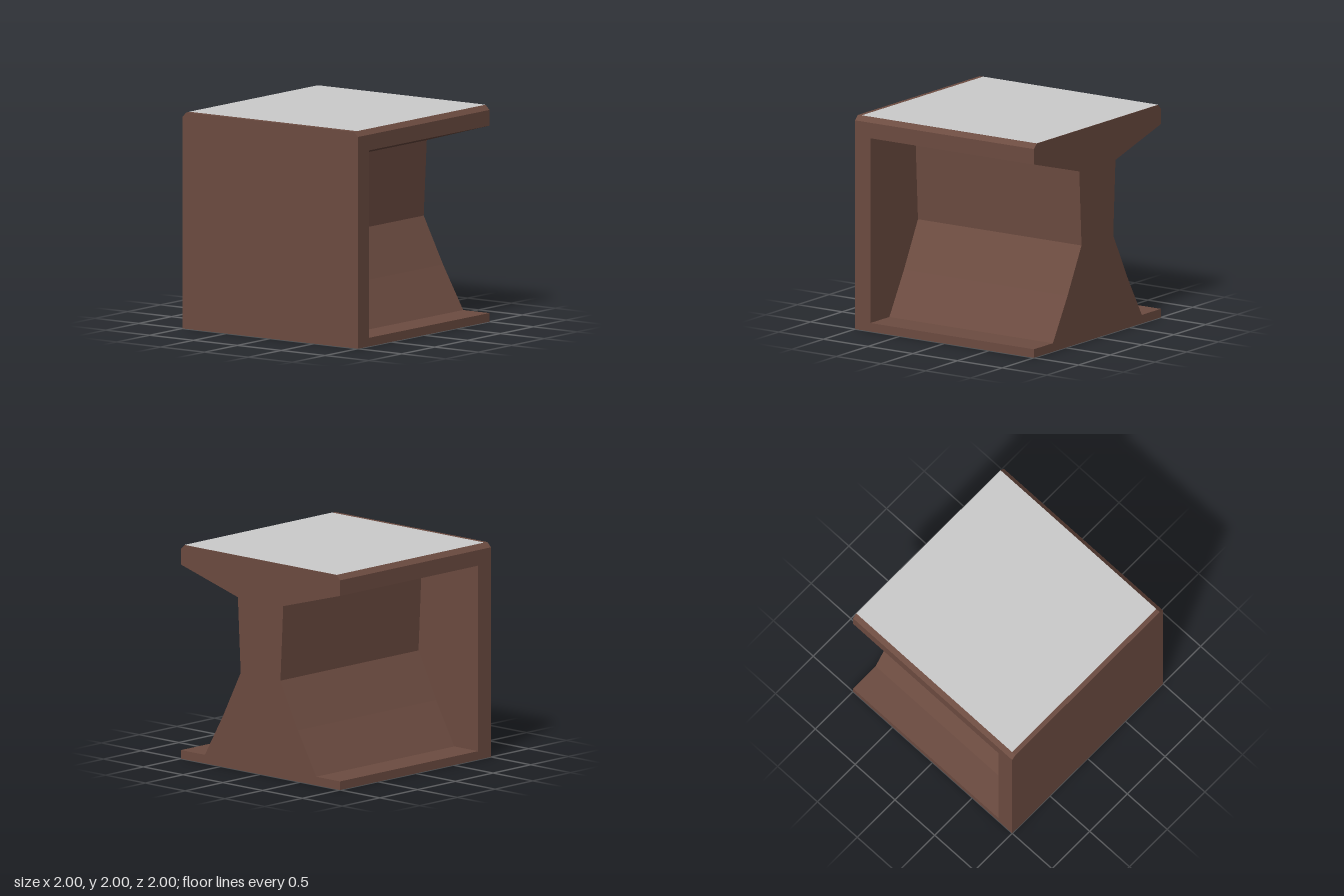
import * as THREE from 'three';

const wood = new THREE.MeshStandardMaterial({ color: 0x6d4c41, flatShading: true });
const grey = new THREE.MeshStandardMaterial({ color: 0xcccccc, side: THREE.DoubleSide });
const TOP = 1.998; // top of the woodwork, just under the surface sheet

// Extrude a symmetric (z, y) outline along x, given its +z half from bottom to top
function extrudeAlongX(name, half, xMin, xMax) {
  const mirrored = half.map(([z, y]) => [-z, y]).reverse();
  const shape = new THREE.Shape([...half, ...mirrored].map(([z, y]) => new THREE.Vector2(z, y)));
  const geometry = new THREE.ExtrudeGeometry(shape, { depth: xMax - xMin, bevelEnabled: false });
  geometry.rotateY(-Math.PI / 2).translate(xMax, 0, 0);
  const mesh = new THREE.Mesh(geometry, wood);
  mesh.name = name;
  return mesh;
}

export function createModel() {
  const group = new THREE.Group();
  group.name = 'counterEnd';
  const chamfer = [[1, 1.955], [0.957, TOP]];

  // Waisted body: base ledge, sloping foot, upright waist, flared top
  const waist = [[1, 0], [1, 0.08], [0.7, 0.08], [0.47, 0.48], [0.25, 0.91], [0.285, 1.61], [1, 1.81]];
  group.add(extrudeAlongX('body', [...waist, ...chamfer], -0.83, 1));

  // Solid panel closing one end
  group.add(extrudeAlongX('endPanel', [[1, 0], ...chamfer], -1, -0.83));

  // Flat top surface, leaving a wooden strip along the closed end
  const top = new THREE.Mesh(new THREE.PlaneGeometry(1.957, 1.914), grey);
  top.name = 'topSurface';
  top.rotation.x = -Math.PI / 2;
  top.position.set(0.0215, 2, 0);
  group.add(top);

  return group;
}
